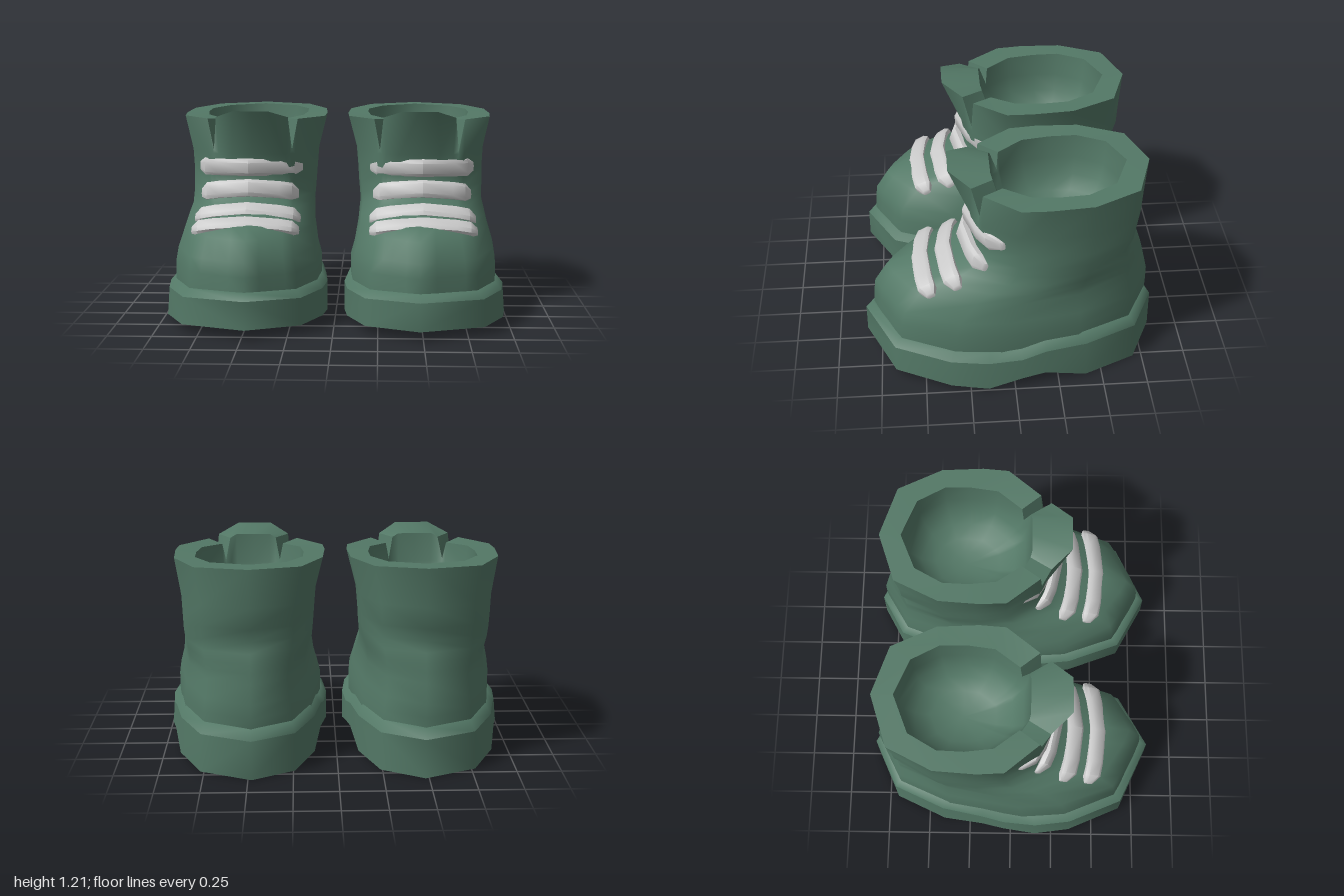
import * as THREE from 'three';
import { toCreasedNormals } from 'three/addons/utils/BufferGeometryUtils.js';

const leather = new THREE.MeshStandardMaterial({ color: 0x537866 });
const laceMat = new THREE.MeshStandardMaterial({ color: 0xcccccc });
const SMOOTH = Math.PI;

// Half outlines from front centre to back centre: [sideways, forward], both -1..1
const SOLE = [[0, 1], [.7, .8], [.95, .43], [1, .18], [.965, -.05], [.91, -.21], [.82, -.49], [.56, -.84], [0, -1]];
const TOE = [[0, 1], [.2, .95], [.4, .89], [.55, .85], [.7, .8], [.96, .42], [1, .1], [.85, -.45], [.57, -.83], [0, -1]];
const SHAFT = [[0, 1], [.3, .98], [.5, .93], [.58, .9], [.66, .86], [.95, .46], [1, .1], [.96, -.35], [.67, -.82], [0, -1]];

// Collar edge with tongue, notch and flap, then the inner rim: [x, y, z]
const COLLAR = [[0, 1.21, .34], [.1, 1.21, .34], [.21, 1.165, .22], [.23, .97, .17], [.265, 1.15, .16],
  [.42, 1.15, -.03], [.43, 1.155, -.18], [.415, 1.16, -.42], [.29, 1.165, -.675], [0, 1.17, -.77]];
const RIM = [[0, 1.185, .11], [.1, 1.185, .11], [.135, 1.165, .1], [.16, 1.04, .06], [.18, 1.14, .05],
  [.285, 1.15, -.09], [.305, 1.155, -.25], [.3, 1.16, -.4], [.21, 1.165, -.56], [0, 1.17, -.645]];

// Skin closed rings of [x, y, z] points; flip mirrors the result in x
function loft(rings, flip, crease) {
  const pos = [], idx = [], n = rings[0].length;
  for (const ring of rings) for (const [x, y, z] of ring) pos.push(flip ? -x : x, y, z);
  for (let j = 0; j < rings.length - 1; j++) for (let i = 0; i < n; i++) {
    const a = j * n + i, b = j * n + (i + 1) % n, c = b + n, d = a + n;
    if (flip) idx.push(a, c, b, a, d, c);
    else idx.push(a, b, c, a, c, d);
  }
  const g = new THREE.BufferGeometry();
  g.setAttribute('position', new THREE.Float32BufferAttribute(pos, 3));
  g.setIndex(idx);
  return toCreasedNormals(g, crease);
}

// Complete a half outline with its mirrored points
function fullRing(half) {
  const other = half.slice(1, -1).reverse().map(([x, y, z]) => [-x, y, z]);
  return [...half, ...other];
}

// Different widths on the outer and inner side of the foot
const widen = (ring, out, inn) => ring.map(([x, y, z]) => [x * (x > 0 ? out : inn), y, z]);

// Height along the length, read from a short table of [z, y], front to back
function heightAt(table, z) {
  for (let i = 1; i < table.length; i++) {
    const [z0, y0] = table[i - 1], [z1, y1] = table[i];
    if (z >= z1) return THREE.MathUtils.mapLinear(z, z0, z1, y0, y1);
  }
  return table[table.length - 1][1];
}

function soleRings() {
  const under = [[.83, .06], [.15, .01], [-.04, .06], [-.18, .07], [-.41, 0], [-.84, 0]];
  const wall = [[.83, .22], [.5, .19], [-.02, .18], [-.18, .215], [-.84, .225]];
  const ledge = [[.83, .26], [.5, .235], [-.02, .225], [-.18, .265], [-.4, .28], [-.84, .285]];
  const ring = (table, len, out, inn) =>
    widen(fullRing(SOLE.map(([u, v]) => [u, heightAt(table, v * .833), v * len])), out, inn);
  return [
    ring(under, .833, 0, 0), // centre line of the underside
    ring(under, .833, .52, .43),
    ring(wall, .833, .507, .43),
    ring(ledge, .797, .467, .395),
    ring(ledge, .76, .44, .37),
  ];
}

function upperRings() {
  // [y, front z, back z, outer width, inner width, toe-to-shaft blend, doming]
  const levels = [
    [.22, .785, -.795, .463, .393, 0, 0],
    [.34, .78, -.8, .463, .393, 0, 0],
    [.42, .77, -.8, .45, .37, 0, .02],
    [.53, .7, -.775, .42, .35, .05, .1],
    [.585, .57, -.762, .41, .345, .25, .12],
    [.635, .41, -.748, .4, .34, .55, .12],
    [.69, .29, -.73, .4, .345, .8, .06],
    [.75, .225, -.705, .4, .35, 1, 0],
    [.83, .215, -.745, .4, .355, 1, 0],
    [.95, .235, -.752, .405, .365, 1, 0],
  ];
  const rings = levels.map(([y, f, b, out, inn, t, dome]) => {
    const half = TOE.map(([u, v], i) => {
      const x = THREE.MathUtils.lerp(u, SHAFT[i][0], t);
      let w = THREE.MathUtils.lerp(v, SHAFT[i][1], t);
      if (w > 0) w -= dome * x * x;
      return [x, y, (f + b) / 2 + w * (f - b) / 2];
    });
    return widen(fullRing(half), out, inn);
  });
  return [...rings, widen(fullRing(COLLAR), 1.02, .97)];
}

// Rounded hollow below the rim
function liningRings(rim) {
  const bowl = [[1.02, .97], [.92, .9], [.84, .74], [.79, .5], [.77, .25], [.765, 0]];
  return [rim, ...bowl.map(([y, s]) => rim.map(([x, , z]) => [x * s, y, (z + .28) * s - .28]))];
}

// A flat strap bent over the front: middle and end positions in [y, z], lean back from upright
function laceGeometry([y0, z0], [y1, z1], lean, half) {
  const stations = [[-1.06, 1, 0], [-1.05, 1, .5], [-.92, .65, 1], [-.65, .35, 1], [0, 0, 1],
    [.65, .35, 1], [.92, .65, 1], [1.05, 1, .5], [1.06, 1, 0]];
  const section = [[1, -.5], [1, .5], [.6, 1], [-.6, 1], [-1, .5], [-1, -.5], [-.6, -1], [.6, -1]];
  const c = Math.cos(lean), s = Math.sin(lean);
  const rings = stations.map(([k, drop, size]) => section.map(([a, b]) => {
    const up = a * .05 * size, out = b * .03 * size;
    return [k * half, y0 + (y1 - y0) * drop + up * c + out * s, z0 + (z1 - z0) * drop - up * s + out * c];
  }));
  return loft(rings, false, .7);
}

const LACES = [
  [[.875, .232], [.862, .06], -.1, .29],
  [[.757, .262], [.71, .155], .3, .272],
  [[.648, .375], [.59, .308], 1, .29],
  [[.592, .507], [.545, .455], 1.1, .29],
];

function makeBoot(flip) {
  const boot = new THREE.Group();
  boot.name = flip ? 'rightBoot' : 'leftBoot';
  const add = (name, geometry, material) => {
    const mesh = new THREE.Mesh(geometry, material);
    mesh.name = name;
    boot.add(mesh);
    return mesh;
  };
  const sole = soleRings(), upper = upperRings();
  const rim = widen(fullRing(RIM), 1.03, .97);
  add('soleUnderside', loft(sole.slice(0, 2), flip, .6), leather);
  add('soleWall', loft(sole.slice(1, 3), flip, SMOOTH), leather);
  add('soleLedge', loft(sole.slice(2), flip, SMOOTH), leather);
  add('upper', loft(upper, flip, SMOOTH), leather);
  add('collarRim', loft([upper[upper.length - 1], rim], flip, .5), leather);
  add('lining', loft(liningRings(rim), flip, SMOOTH), leather);
  LACES.forEach((lace, i) => {
    add('lace' + (i + 1), laceGeometry(...lace), laceMat).position.x = flip ? -.025 : .025;
  });
  boot.position.x = flip ? -.48 : .48;
  return boot;
}

export function createModel() {
  const model = new THREE.Group();
  model.name = 'pairOfBoots';
  model.add(makeBoot(false), makeBoot(true));
  return model;
}
